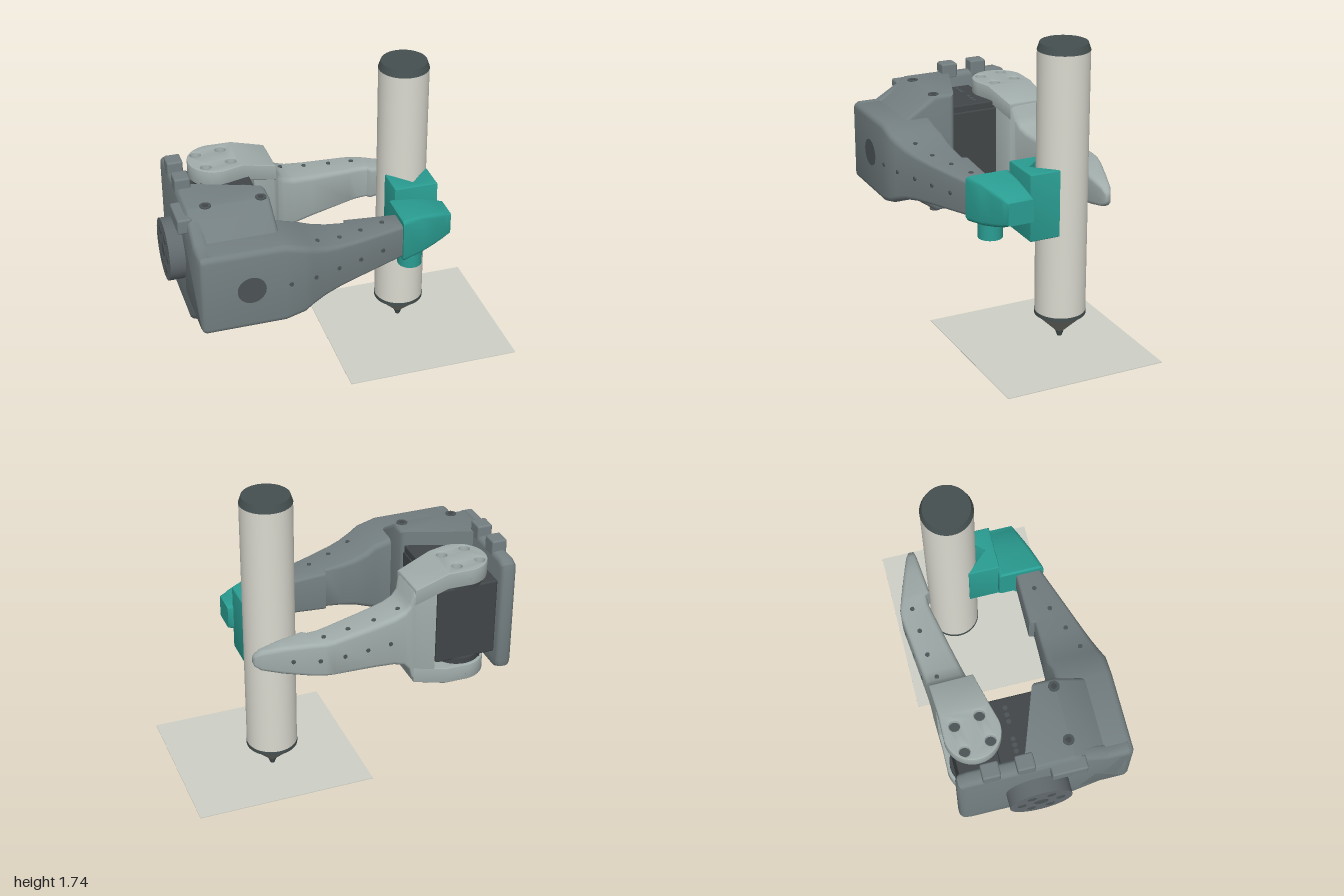
import * as THREE from 'three';
import { toCreasedNormals } from 'three/addons/utils/BufferGeometryUtils.js';
import { RoundedBoxGeometry } from 'three/addons/geometries/RoundedBoxGeometry.js';

const MID = 0.865; // height of the gripper's centre plane

function paint(name, color) {
  const m = new THREE.MeshStandardMaterial({ color });
  m.name = name;
  return m;
}

// Rounded-rectangle cross-sections along x: [x, halfHeight, zBack, zFront, radius]
function loft(sections, yc = MID) {
  const pos = [], idx = [], K = 5, N = 4 * K;
  for (const [x, hy, z0, z1, r] of sections) {
    const hz = (z1 - z0) / 2, zc = (z0 + z1) / 2;
    for (let c = 0; c < 4; c++) {
      const sz = c === 0 || c === 3 ? 1 : -1, sy = c < 2 ? 1 : -1;
      for (let k = 0; k < K; k++) {
        const a = (c + k / (K - 1)) * Math.PI / 2;
        pos.push(x, yc + sy * (hy - r) + r * Math.sin(a), zc - sz * (hz - r) - r * Math.cos(a));
      }
    }
  }
  for (let s = 0; s < sections.length - 1; s++) {
    for (let i = 0; i < N; i++) {
      const a = s * N + i, b = s * N + (i + 1) % N;
      idx.push(a, b, b + N, a, b + N, a + N);
    }
  }
  const e = (sections.length - 1) * N;
  for (let i = 1; i < N - 1; i++) idx.push(0, i + 1, i, e, e + i, e + i + 1);
  const g = new THREE.BufferGeometry();
  g.setAttribute('position', new THREE.Float32BufferAttribute(pos, 3));
  g.setIndex(idx);
  return toCreasedNormals(g, 0.6);
}

const poly = pts => new THREE.Shape(pts.map(p => new THREE.Vector2(p[0], p[1])));

function bevelled(shape, depth, b) {
  const g = new THREE.ExtrudeGeometry(shape, {
    depth: depth - 2 * b, bevelEnabled: b > 0, bevelThickness: b, bevelSize: b,
    bevelOffset: -b, bevelSegments: 3, curveSegments: 24,
  });
  return g.translate(0, 0, b);
}
// Side profile (z, y) extruded from x0 to x1
const alongX = (shape, x0, x1, b) => bevelled(shape, x1 - x0, b).rotateY(-Math.PI / 2).translate(x1, 0, 0);
// Plan profile (x, z) extruded from y0 to y1
const alongY = (shape, y0, y1, b) => bevelled(shape, y1 - y0, b).rotateX(Math.PI / 2).translate(0, y1, 0);

export function createModel() {
  const root = new THREE.Group();
  root.name = 'penGripper';
  const body = paint('slate grey', 0x747f81), light = paint('light grey', 0xa1adab);
  const dark = paint('motor charcoal', 0x414648), hole = paint('hole grey', 0x4c5455);
  const teal = paint('teal', 0x2a9d92), barrel = paint('pen ivory', 0xdadad0);
  const cap = paint('pen cap', 0x465050), cone = paint('pen cone', 0x8b8a82);
  const sheet = paint('paper', 0xcfd1c8), horn = paint('horn grey', 0x626a6e);

  const add = (name, geo, mat, parent = root) => {
    const m = new THREE.Mesh(geo, mat);
    m.name = name;
    parent.add(m);
    return m;
  };
  const box = (name, mat, x0, x1, y0, y1, z0, z1, r = 0.012) => {
    const m = add(name, new RoundedBoxGeometry(x1 - x0, y1 - y0, z1 - z0, 2, r), mat);
    m.position.set((x0 + x1) / 2, (y0 + y1) / 2, (z0 + z1) / 2);
    return m;
  };
  const disc = (name, mat, r, h, x, y, z, axis = 'y', r2 = r) => {
    const g = new THREE.CylinderGeometry(r, r2, h, r > 0.05 ? 40 : 14);
    if (axis === 'x') g.rotateZ(Math.PI / 2);
    if (axis === 'z') g.rotateX(Math.PI / 2);
    const m = add(name, g, mat);
    m.position.set(x, y, z);
    return m;
  };

  // Paper and pen
  const paper = add('paper', new THREE.BoxGeometry(1.03, 0.004, 0.945), sheet);
  paper.position.set(0.485, 0.002, -0.06);
  const px = 0.46, pz = -0.178;
  disc('penBarrel', barrel, 0.145, 1.525, px, 0.9375, pz);
  disc('penCap', cap, 0.132, 0.042, px, 1.721, pz, 'y', 0.146);
  disc('penCollar', cap, 0.147, 0.022, px, 0.165, pz);
  disc('penCone', cone, 0.144, 0.115, px, 0.0975, pz, 'y', 0.026);
  disc('penTip', cap, 0.026, 0.04, px, 0.02, pz, 'y', 0.012);

  // Fixed jaw: front block running into the tapered arm
  add('fixedJaw', loft([
    [-0.91, 0.215, 0.12, 0.505, 0.02], [-0.9, 0.235, 0.11, 0.52, 0.03], [-0.885, 0.242, 0.1, 0.527, 0.035],
    [-0.44, 0.242, 0.215, 0.527, 0.035], [-0.33, 0.212, 0.215, 0.525, 0.035], [-0.28, 0.188, 0.2, 0.508, 0.035],
    [-0.2, 0.157, 0.2, 0.482, 0.03], [-0.12, 0.139, 0.2, 0.456, 0.025], [-0.012, 0.125, 0.2, 0.421, 0.02],
    [-0.005, 0.124, 0.17, 0.419, 0.02], [0.3, 0.102, 0.17, 0.318, 0.02], [0.56, 0.06, 0.17, 0.22, 0.01],
  ]), body);

  // Hexagonal motor housing, its open edge slanting back toward the wall
  const housing = alongX(poly([
    [-0.1, 0.505], [0.19, 0.505], [0.38, 0.64], [0.38, 1.1], [0.19, 1.226], [-0.1, 1.226],
  ]), -0.905, -0.43, 0.025);
  const hp = housing.attributes.position;
  for (let i = 0; i < hp.count; i++) {
    if (hp.getZ(i) < 0.1) hp.setZ(i, hp.getZ(i) + 0.36 * (hp.getX(i) + 0.905));
  }
  add('housing', toCreasedNormals(housing, 0.6), body);

  // Side wall with the mounting horn
  const wall = poly([
    [-0.46, 0.57], [-0.45, 0.53], [-0.4, 0.505], [0.19, 0.505], [0.38, 0.63], [0.5, 0.63], [0.525, 0.66],
    [0.525, 1.08], [0.5, 1.108], [0.38, 1.108], [0.19, 1.222], [-0.4, 1.222], [-0.45, 1.2], [-0.46, 1.16],
  ]);
  add('sideWall', toCreasedNormals(alongX(wall, -0.91, -0.82, 0.03), 0.6), body);
  disc('mountHorn', horn, 0.178, 0.09, -0.953, MID, -0.015, 'x');
  for (let i = 0; i < 7; i++) {
    const a = i * Math.PI / 3, r = i < 6 ? 0.11 : 0;
    disc('hornHole', hole, i < 6 ? 0.024 : 0.04, 0.006, -0.998, MID + r * Math.sin(a), -0.015 + r * Math.cos(a), 'x');
  }
  // Cable clips on the wall
  box('cableClip', body, -0.91, -0.82, 1.19, 1.285, -0.13, -0.03);
  box('cableClip', body, -0.91, -0.82, 1.19, 1.285, -0.32, -0.22);
  box('cableTab', body, -0.96, -0.88, 1.11, 1.2, 0.05, 0.25);

  // Jaw motor
  box('motor', dark, -0.81, -0.445, 0.63, 1.1, -0.43, 0.12);
  for (const s of [1, -1]) {
    const y = MID + s * 0.25;
    box('motorCover', dark, -0.81, -0.45, y - 0.025, y + 0.025, -0.2, 0.12, 0.008);
    disc('motorHorn', dark, 0.14, 0.05, -0.62, y, -0.31);
    for (const x of [-0.76, -0.725, -0.69, -0.59, -0.55, -0.51]) {
      disc('motorScrew', hole, 0.014, 0.006, x, y + s * 0.026, -0.1);
    }
    // Housing screws
    for (const x of [-0.79, -0.48]) {
      disc('housingScrew', hole, 0.032, 0.006, x, MID + s * 0.361, 0.18);
      disc('housingScrewCore', dark, 0.016, 0.008, x, MID + s * 0.362, 0.18);
    }
  }

  // Moving jaw: hinge plates above and below
  const hinge = new THREE.Shape();
  hinge.moveTo(-0.29, -0.475).lineTo(-0.49, -0.465).lineTo(-0.62, -0.467);
  hinge.absarc(-0.62, -0.31, 0.158, -Math.PI / 2, Math.PI * 0.42, true);
  hinge.lineTo(-0.49, -0.182).lineTo(-0.285, -0.225);
  const screws = [[-0.717, -0.375], [-0.567, -0.395], [-0.69, -0.225], [-0.54, -0.25]];
  for (const [x, z] of screws) {
    hinge.holes.push(new THREE.Path().absarc(x, z, 0.03, 0, Math.PI * 2, false));
  }
  const plate = alongY(hinge, 0.26, 0.36, 0.008);
  const pp = plate.attributes.position;
  for (let i = 0; i < pp.count; i++) {
    pp.setY(i, pp.getY(i) - 0.3 * Math.max(0, pp.getX(i) + 0.49));
  }
  const plateGeo = toCreasedNormals(plate, 0.5);
  for (const s of [1, -1]) {
    const m = add('hingePlate', plateGeo, light);
    m.position.y = MID;
    m.scale.y = s;
    for (const [x, z] of screws) disc('hingeScrew', hole, 0.036, 0.04, x, MID + s * 0.3, z);
  }
  // Moving jaw: web and finger
  add('movingJaw', loft([
    [-0.42, 0.325, -0.468, -0.2, 0.02], [-0.3, 0.298, -0.474, -0.222, 0.03], [-0.28, 0.275, -0.475, -0.235, 0.03],
    [-0.265, 0.215, -0.477, -0.25, 0.03], [-0.23, 0.177, -0.48, -0.258, 0.03], [-0.17, 0.155, -0.487, -0.27, 0.03],
    [-0.05, 0.138, -0.5, -0.295, 0.03], [0.2, 0.11, -0.527, -0.347, 0.025], [0.25, 0.107, -0.525, -0.357, 0.025],
    [0.31, 0.104, -0.508, -0.358, 0.025], [0.33, 0.102, -0.502, -0.335, 0.025], [0.47, 0.085, -0.456, -0.348, 0.025],
    [0.58, 0.06, -0.418, -0.358, 0.02], [0.615, 0.035, -0.4, -0.365, 0.012], [0.622, 0.018, -0.388, -0.37, 0.006],
  ]), light);

  // Rows of small holes along both arms
  disc('accessHole', hole, 0.08, 0.006, -0.63, 0.87, 0.526, 'z');
  [[-0.41, 0.527], [-0.265, 0.503], [-0.12, 0.456], [0.02, 0.411], [0.165, 0.363]].forEach(([x, z]) =>
    disc('armHole', hole, 0.012, 0.012, x, MID, z, 'z'));
  for (const s of [1, -1]) {
    [[-0.23, 0.405, 0.168], [-0.09, 0.36, 0.134], [0.05, 0.305, 0.12], [0.195, 0.25, 0.11]].forEach(([x, z, h]) =>
      disc('armHole', hole, 0.013, 0.01, x, MID + s * h, z));
    [[-0.21, -0.415, 0.169], [-0.06, -0.435, 0.139], [0.095, -0.445, 0.122], [0.24, -0.455, 0.108]].forEach(([x, z, h]) =>
      disc('fingerHole', hole, 0.013, 0.01, x, MID + s * h, z));
  }
  [[-0.14, -0.491], [0, -0.506], [0.14, -0.521], [0.28, -0.517], [0.42, -0.473]].forEach(([x, z]) =>
    disc('fingerHole', hole, 0.012, 0.01, x, MID, z, 'z'));

  // Pen holder: V-block, sleeve and clamp boss
  add('vBlock', toCreasedNormals(alongY(poly([
    [0.332, 0.08], [0.332, -0.1], [0.345, -0.1], [0.46, 0.025], [0.575, -0.1], [0.588, -0.1], [0.588, 0.08],
  ]), 0.675, 1.065, 0.008), 0.5), teal);
  add('sleeve', loft([
    [0.298, 0.125, 0.07, 0.332, 0.02], [0.31, 0.133, 0.07, 0.33, 0.025], [0.42, 0.123, 0.07, 0.297, 0.025],
    [0.5, 0.107, 0.07, 0.27, 0.025], [0.57, 0.087, 0.07, 0.245, 0.02], [0.59, 0.075, 0.07, 0.238, 0.015],
    [0.62, 0.066, 0.075, 0.226, 0.01],
  ], 0.872), teal);
  disc('clampBoss', teal, 0.07, 0.13, 0.378, 0.723, 0.22);
  disc('clampScrew', hole, 0.026, 0.02, 0.375, 0.655, 0.22);
  return root;
}
